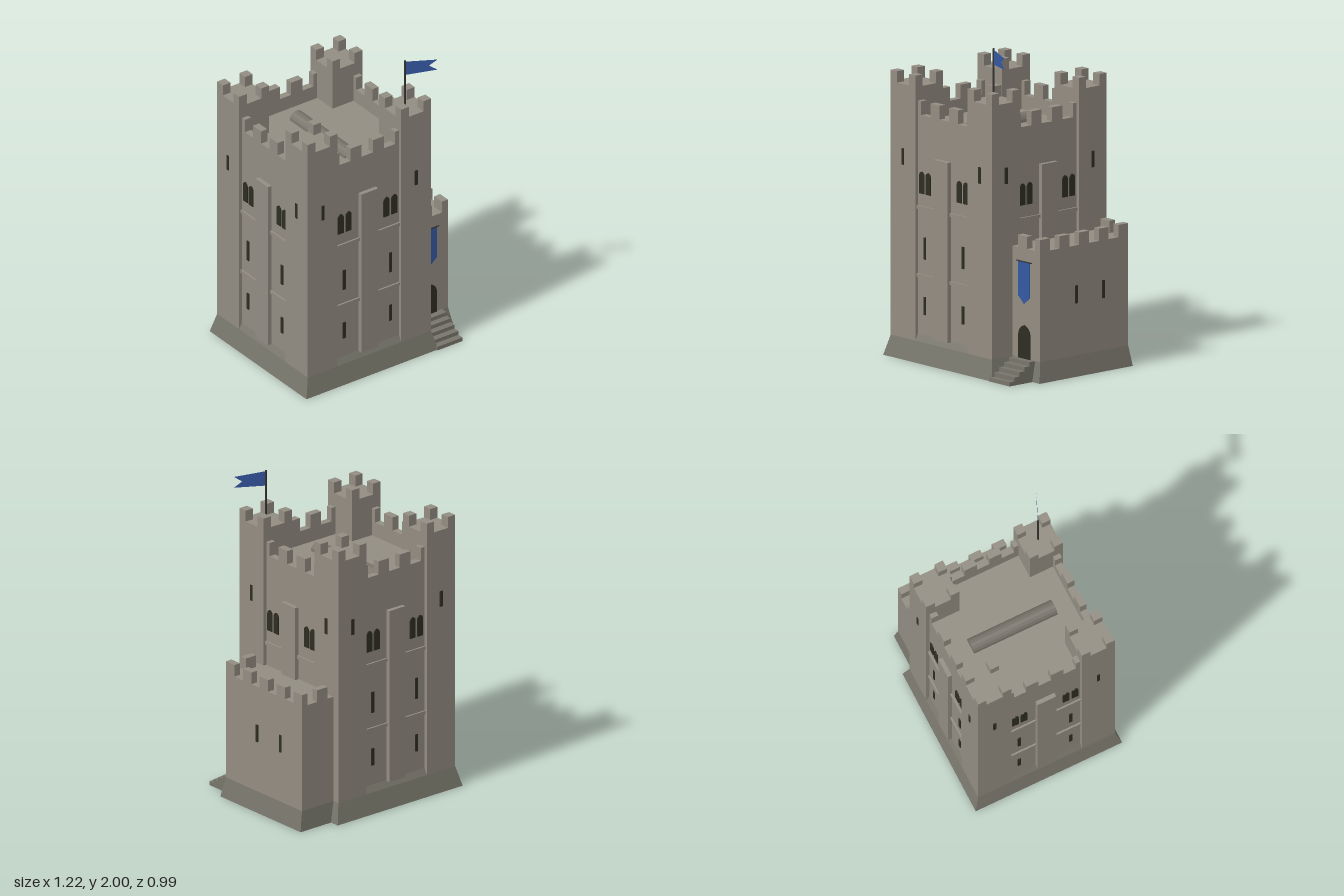
import * as THREE from 'three';

const mat = (name, color, side = THREE.FrontSide) => {
  const m = new THREE.MeshStandardMaterial({ color, side });
  m.name = name;
  return m;
};

export function createModel() {
  const stone = mat('stone', 0x938d82);
  const baseStone = mat('baseStone', 0x78766b, THREE.DoubleSide);
  const roofLead = mat('roofLead', 0x78736a);
  const opening = mat('opening', 0x2f2e22);
  const cloth = mat('cloth', 0x3559a3, THREE.DoubleSide);
  const iron = mat('iron', 0x35332f);

  const model = new THREE.Group();
  model.name = 'castleKeep';

  const add = (parent, name, geo, material) => {
    const m = new THREE.Mesh(geo, material);
    m.name = name;
    parent.add(m);
    return m;
  };
  // Box given by its limits on each axis
  const box = (parent, name, x0, x1, y0, y1, z0, z1, material = stone) => {
    const g = new THREE.BoxGeometry(x1 - x0, y1 - y0, z1 - z0);
    g.translate((x0 + x1) / 2, (y0 + y1) / 2, (z0 + z1) / 2);
    return add(parent, name, g, material);
  };
  // Open sloping skirt between two rectangles [x0, x1, z0, z1]
  const skirt = (parent, name, low, high, y0, y1) => {
    const g = new THREE.BoxGeometry(1, 1, 1);
    const p = g.attributes.position;
    for (let i = 0; i < p.count; i++) {
      const up = p.getY(i) > 0, r = up ? high : low;
      p.setXYZ(i, p.getX(i) < 0 ? r[0] : r[1], up ? y1 : y0, p.getZ(i) < 0 ? r[2] : r[3]);
    }
    const idx = Array.from(g.index.array);
    g.setIndex([...idx.slice(0, 12), ...idx.slice(24)]); // no top or bottom
    g.clearGroups();
    g.computeVertexNormals();
    return add(parent, name, g, baseStone);
  };
  // Thin plate with an optional pointed or round head, standing on y0
  const archPlate = (parent, name, x, y0, w, h, z, t = 0.006) => {
    const s = new THREE.Shape(), r = w / 2, spring = h - r * 1.15;
    s.moveTo(-r, 0);
    s.lineTo(r, 0);
    s.lineTo(r, spring);
    s.quadraticCurveTo(r * 0.9, h - r * 0.25, 0, h);
    s.quadraticCurveTo(-r * 0.9, h - r * 0.25, -r, spring);
    const g = new THREE.ExtrudeGeometry(s, { depth: t, bevelEnabled: false, curveSegments: 6 });
    g.translate(x, y0, z);
    return add(parent, name, g, opening);
  };

  // ---- Main keep, centred on its own group ----
  const keep = new THREE.Group();
  keep.name = 'keep';
  keep.position.set(-0.1215, 0, -0.003);
  model.add(keep);

  const T = 0.458, W = 0.436, IN = 0.391, TI = 0.236; // tower face, wall face, wall inside, tower inner edge
  const sq = (h) => [-h, h, -h, h];
  skirt(keep, 'plinth', sq(0.49), sq(T), 0, 0.125);
  skirt(keep, 'wallFoot', sq(T), sq(W), 0.125, 0.165);
  box(keep, 'keepBody', -W, W, 0.125, 1.42, -W, W);

  // Low rounded ridge on the roof
  const ridge = new THREE.CylinderGeometry(0.05, 0.05, 0.56, 8, 1, false, -Math.PI / 2, Math.PI);
  ridge.rotateX(-Math.PI / 2);
  ridge.translate(0, 1.42, 0);
  add(keep, 'roofRidge', ridge.toNonIndexed(), roofLead).geometry.computeVertexNormals();

  // Corner towers with a merlon on each corner
  for (const sx of [-1, 1]) for (const sz of [-1, 1]) {
    const tower = new THREE.Group();
    tower.name = 'cornerTower';
    tower.position.set(sx * (T + TI) / 2, 0, sz * (T + TI) / 2);
    keep.add(tower);
    const h = (T - TI) / 2, m = 0.057;
    box(tower, 'towerBody', -h, h, 0.125, 1.68, -h, h);
    for (const mx of [-h, h - m]) for (const mz of [-h, h - m])
      box(tower, 'towerMerlon', mx, mx + m, 1.68, 1.75, mz, mz + m);
  }

  // The four walls are alike: buttress, string courses, windows, parapet
  for (let i = 0; i < 4; i++) {
    const wall = new THREE.Group();
    wall.name = 'wallSide';
    wall.rotation.y = i * Math.PI / 2;
    keep.add(wall);
    box(wall, 'parapet', -TI, TI, 1.42, 1.51, IN, W);
    box(wall, 'buttress', -0.063, 0.063, 0.16, 1.265, W - 0.01, 0.463);
    for (const s of [-1, 1]) {
      const span = (name, a, b, ...r) => box(wall, name, Math.min(s * a, s * b), Math.max(s * a, s * b), ...r);
      span('merlon', 0.042, 0.125, 1.51, 1.595, IN, W);
      span('merlon', 0.207, TI, 1.51, 1.595, IN, W);
      for (const y of [0.516, 0.934]) span('stringCourse', 0.063, TI, y, y + 0.021, W, W + 0.011);
      for (const d of [-0.029, 0.029])
        archPlate(wall, 'archedWindow', s * 0.17 + d, 1.03, 0.043, 0.135, W);
      span('arrowSlit', 0.162, 0.182, 0.63, 0.765, W, W + 0.005, opening);
      span('arrowSlit', 0.162, 0.182, 0.29, 0.4, W, W + 0.005, opening);
      span('towerSlit', 0.337, 0.357, 1.187, 1.287, T, T + 0.005, opening);
    }
  }

  // ---- Lower entrance building on the left flank ----
  const fore = new THREE.Group();
  fore.name = 'entranceBuilding';
  model.add(fore);
  const X = 0.583, Z0 = -0.415, Z1 = 0.29;
  skirt(fore, 'entrancePlinth', [0.34, 0.607, -0.431, 0.314], [0.33, X, Z0, Z1], 0, 0.125);
  box(fore, 'entranceBody', 0.31, X, 0.125, 0.8, Z0, Z1);
  const seg = (Z1 - Z0) / 9;
  for (let i = 0; i < 9; i += 2)
    box(fore, 'sideMerlon', X - 0.044, X, 0.8, 0.875, Z0 + i * seg, Z0 + (i + 1) * seg);
  for (const z of [Z0, Z1 - 0.044])
    box(fore, 'endMerlon', 0.383, 0.464, 0.8, 0.875, z, z + 0.044);
  for (const z of [0, -0.216])
    box(fore, 'sideSlit', X, X + 0.005, 0.445, 0.555, z - 0.01, z + 0.01, opening);
  archPlate(fore, 'door', 0.445, 0.125, 0.105, 0.205, Z1);

  // Hanging banner on its rod
  const bannerShape = new THREE.Shape(
    [[-0.052, 0.72], [-0.052, 0.505], [0, 0.46], [0.052, 0.505], [0.052, 0.72]].map(([x, y]) => new THREE.Vector2(x, y)));
  const banner = new THREE.ExtrudeGeometry(bannerShape, { depth: 0.004, bevelEnabled: false });
  add(fore, 'banner', banner, cloth).position.set(0.445, 0, Z1 + 0.002);
  const rod = new THREE.CylinderGeometry(0.004, 0.004, 0.137, 8);
  rod.rotateZ(Math.PI / 2);
  add(fore, 'bannerRod', rod, iron).position.set(0.445, 0.72, Z1 + 0.005);

  // Entrance steps
  for (let i = 0; i < 5; i++)
    box(fore, 'step', 0.356, 0.54, i * 0.025, (i + 1) * 0.025, Z1, 0.495 - i * 0.04, baseStone);

  // ---- Flag on the front left tower ----
  const flag = new THREE.Group();
  flag.name = 'flag';
  flag.position.set(0.225, 0, 0.344);
  model.add(flag);
  add(flag, 'flagPole', new THREE.CylinderGeometry(0.006, 0.006, 0.32, 8), iron).position.y = 1.84;
  const flagShape = new THREE.Shape(
    [[0, 1.993], [0, 1.9], [0.2, 1.91], [0.148, 1.945], [0.2, 1.98]].map(([x, y]) => new THREE.Vector2(x, y)));
  add(flag, 'flagCloth', new THREE.ShapeGeometry(flagShape), cloth).rotation.y = -0.4;

  return model;
}
